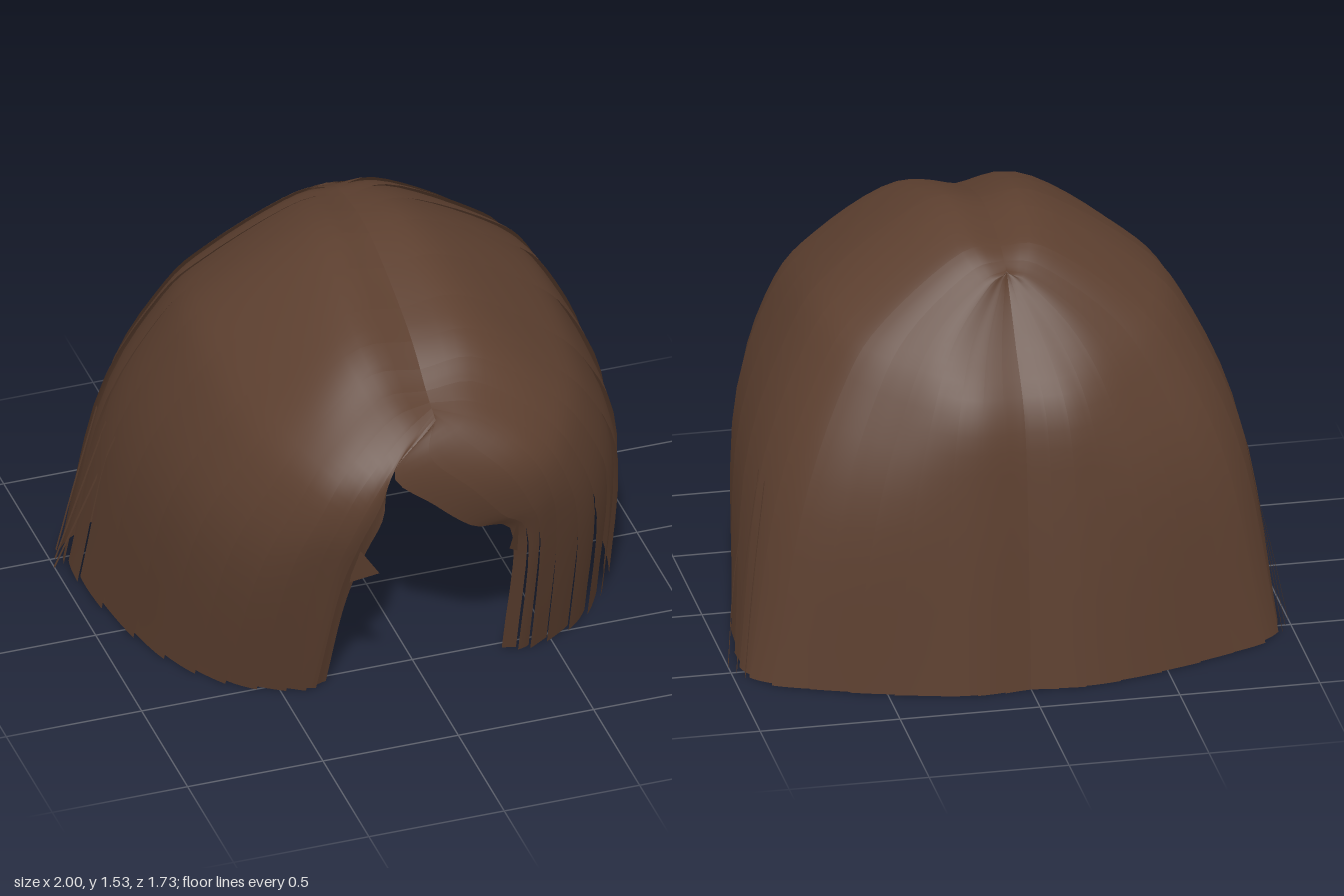
import * as THREE from 'three';

// Guide strands of one half, front to back; each runs parting, crown, temple, side, cheek, hem.
const FRONT_GUIDES = [
  [[0, 1.19, 0.72], [0.13, 1.12, 0.79], [0.27, 0.99, 0.845], [0.35, 0.83, 0.83], [0.4, 0.6, 0.75], [0.43, 0, 0.54]],
  [[0, 1.23, 0.65], [0.18, 1.23, 0.66], [0.38, 1.1, 0.73], [0.5, 0.93, 0.75], [0.61, 0.6, 0.65], [0.65, 0, 0.42]],
  [[0, 1.37, 0.44], [0.22, 1.375, 0.45], [0.48, 1.2, 0.47], [0.65, 1.01, 0.46], [0.79, 0.65, 0.35], [0.83, 0, 0.14]],
];
const BACK_GUIDES = [
  [[0, 1.5, 0.03], [0.2, 1.495, 0.02], [0.53, 1.29, -0.03], [0.69, 1.1, -0.08], [0.86, 0.67, -0.18], [0.93, 0, -0.33]],
  [[0, 1.48, -0.28], [0.17, 1.46, -0.3], [0.46, 1.26, -0.37], [0.61, 1.08, -0.43], [0.78, 0.67, -0.53], [0.9, 0, -0.58]],
  [[0, 1.42, -0.42], [0.1, 1.385, -0.445], [0.28, 1.23, -0.53], [0.4, 1.02, -0.63], [0.52, 0.65, -0.72], [0.62, 0, -0.74]],
  [[0, 1.42, -0.43], [0.04, 1.37, -0.465], [0.13, 1.2, -0.585], [0.19, 0.99, -0.735], [0.22, 0.65, -0.795], [0.25, 0, -0.85]],
];
// Edges of the face opening: the fringe splits off centre, so the halves differ.
// x is measured outwards on each half.
const LEFT_EDGE = [[0, 1.17, 0.76], [-0.18, 1.03, 0.83], [-0.03, 0.87, 0.83], [0.12, 0.73, 0.8], [0.29, 0.62, 0.74], [0.32, 0, 0.53]];
const RIGHT_EDGE = [[0, 1.17, 0.76], [0.19, 1.03, 0.83], [0.22, 0.85, 0.83], [0.27, 0.68, 0.78], [0.31, 0.4, 0.67], [0.33, 0, 0.53]];

const CENTRE = new THREE.Vector3(0, 0.4, -0.05);
const BANDS = 20, ACROSS = 5, ALONG = 22;

const spline = (pts) => new THREE.CatmullRomCurve3(pts, false, 'catmullrom', 0.5);

// Grid surface through pointAt(across, along)
function sheet(nu, nv, pointAt, flip) {
  const pos = [], idx = [];
  for (let i = 0; i <= nu; i++) for (let j = 0; j <= nv; j++) pos.push(...pointAt(i / nu, j / nv).toArray());
  for (let i = 0; i < nu; i++) for (let j = 0; j < nv; j++) {
    const a = i * (nv + 1) + j, b = a + nv + 1;
    if (flip) idx.push(a, b, a + 1, b, b + 1, a + 1);
    else idx.push(a, a + 1, b, b, a + 1, b + 1);
  }
  const g = new THREE.BufferGeometry();
  g.setAttribute('position', new THREE.Float32BufferAttribute(pos, 3));
  g.setIndex(idx);
  g.computeVertexNormals();
  return g;
}

export function createModel() {
  const hair = new THREE.MeshStandardMaterial({ color: 0x5c3f2f, side: THREE.DoubleSide });
  hair.name = 'brownHair';
  const model = new THREE.Group();
  model.name = 'bobHair';

  for (const [name, side, edge] of [['left', 1, LEFT_EDGE], ['right', -1, RIGHT_EDGE]]) {
    const half = new THREE.Group();
    half.name = name + 'Half';
    model.add(half);
    const add = (geometry, part) => {
      const mesh = new THREE.Mesh(geometry, hair);
      mesh.name = name + part;
      half.add(mesh);
    };

    // The last guide is the one before it moved onto the centre line of the back
    const backCentre = BACK_GUIDES[3].map(([, y, z]) => [0, y, z]);
    const rows = [edge, ...FRONT_GUIDES, ...BACK_GUIDES, backCentre];
    const columns = edge.map((_, k) =>
      spline(rows.map((r) => new THREE.Vector3(r[k][0] * side, r[k][1], r[k][2]))));

    // Overlapping locks: each front edge rests on the lock before it
    for (let b = 0; b < BANDS; b++) {
      const u0 = b / BANDS, u1 = Math.min(1, (b + 1.25) / BANDS);
      const curves = [];
      for (let i = 0; i <= ACROSS; i++) {
        const u = u0 + (u1 - u0) * i / ACROSS;
        curves.push(spline(columns.map((c) => c.getPoint(u))));
      }
      const height = b === 0 ? 0 : b > 13 ? 0.005 : 0.013;
      add(sheet(ACROSS, ALONG, (a, v) => {
        const p = curves[Math.round(a * ACROSS)].getPoint(v);
        const out = p.clone().sub(CENTRE).normalize();
        out.y *= Math.min(1, p.y * 2);
        p.addScaledVector(out, height * (1 - a) * Math.min(1, v * 8) * (1 + v * v));
        p.y = Math.max(0, p.y);
        return p;
      }, side > 0), 'Lock' + (b + 1));
    }

    // Thin loose strands hanging beside the head
    for (let k = 0; k < 3; k++) {
      const path = spline([
        new THREE.Vector3(0.86 * side, 0.68, -0.2 - k * 0.1),
        new THREE.Vector3((0.95 - k * 0.015) * side, 0.3, -0.32 - k * 0.08),
        new THREE.Vector3((1 - k * 0.02) * side, 0, -0.45 - k * 0.05),
      ]);
      add(sheet(1, 6, (a, v) => {
        const p = path.getPoint(v);
        p.z += (a - 0.5) * 0.012;
        return p;
      }, side > 0), 'LooseStrand' + (k + 1));
    }

    // Pointed wisp at the edge of the face opening
    const wisp = new THREE.BufferGeometry().setFromPoints([
      new THREE.Vector3(0.3 * side, 0.72, 0.78),
      new THREE.Vector3(0.24 * side, 0.64, 0.85),
      new THREE.Vector3(0.31 * side, 0.54, 0.73),
    ]);
    wisp.computeVertexNormals();
    add(wisp, 'Wisp');
  }
  return model;
}
